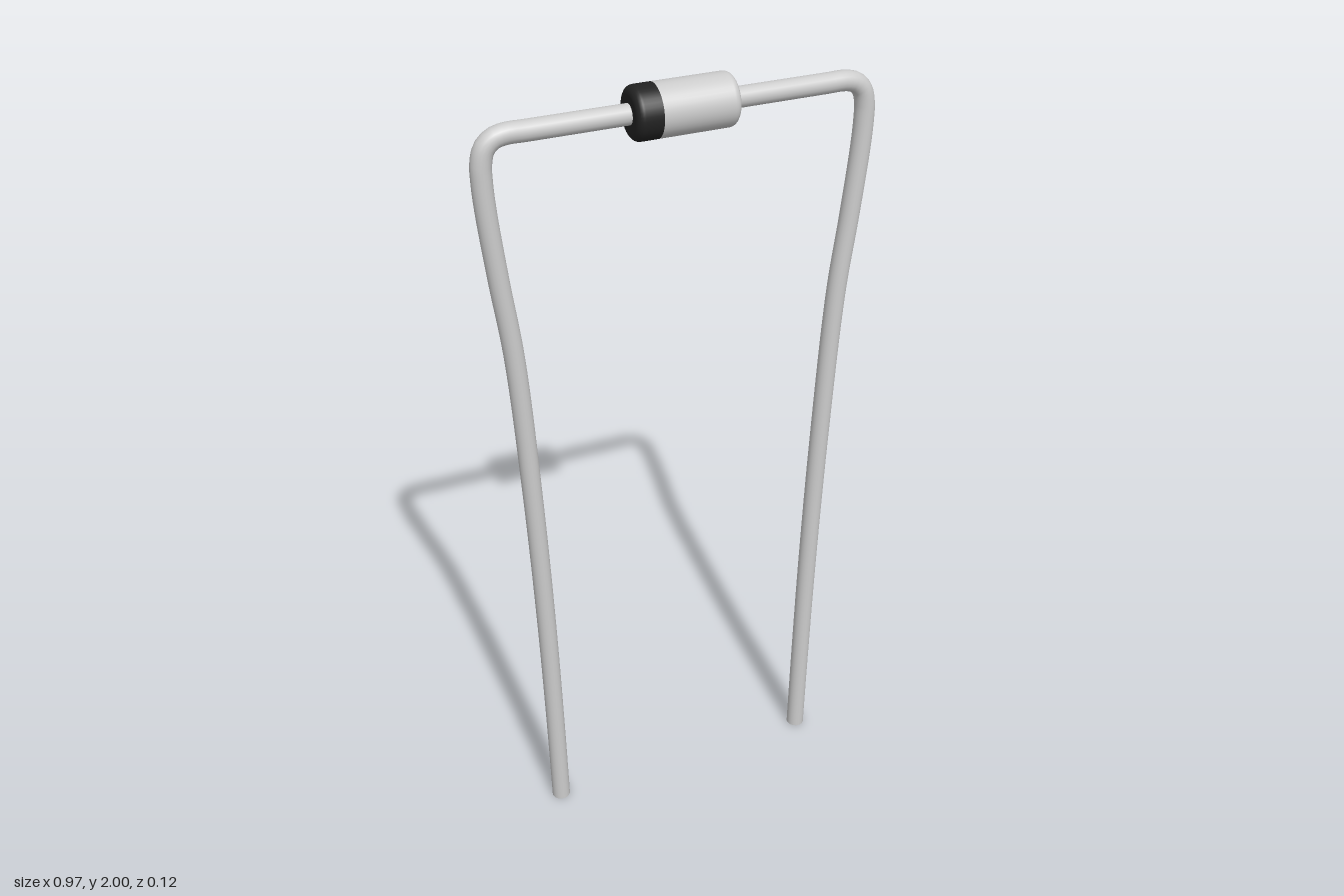
import * as THREE from 'three';

const AXIS_Y = 1.938, WIRE_R = 0.024, BODY_R = 0.062, FILLET = 0.018;

// Quarter-round profile points from the flat end out to the barrel
function roundedEnd(x, dir) {
  const pts = [new THREE.Vector2(0, x), new THREE.Vector2((BODY_R - FILLET) * 0.97, x)];
  for (let i = 0; i <= 6; i++) {
    const a = (i / 6) * Math.PI / 2;
    pts.push(new THREE.Vector2(
      BODY_R - FILLET + FILLET * Math.sin(a),
      x + dir * FILLET * (1 - Math.cos(a))));
  }
  return pts;
}

// Profile turned around the x axis
function turned(name, profile, material) {
  const geo = new THREE.LatheGeometry(profile, 40);
  geo.rotateZ(-Math.PI / 2);
  const mesh = new THREE.Mesh(geo, material);
  mesh.name = name;
  mesh.position.y = AXIS_Y;
  return mesh;
}

// Bent wire with a flat cut end; side is +1 (left) or -1 (right)
function lead(name, side, material) {
  const path = [
    [0.1, AXIS_Y], [0.25, AXIS_Y], [0.36, AXIS_Y], [0.405, AXIS_Y], [0.432, 1.931],
    [0.452, 1.912], [0.461, 1.88], [0.462, 1.84], [0.458, 1.77], [0.44, 1.6],
    [0.416, 1.4], [0.393, 1.0], [0.378, 0.6], [0.37, 0.25], [0.366, 0],
  ].map(([x, y]) => new THREE.Vector3(side * x, y, 0));
  const group = new THREE.Group();
  group.name = name;

  const wire = new THREE.Mesh(
    new THREE.TubeGeometry(new THREE.CatmullRomCurve3(path), 160, WIRE_R, 20), material);
  wire.name = 'bentWire';

  const cap = new THREE.Mesh(new THREE.CircleGeometry(WIRE_R, 20), material);
  cap.name = 'wireEnd';
  cap.rotation.x = Math.PI / 2;
  cap.position.x = side * 0.366;

  group.add(wire, cap);
  return group;
}

export function createModel() {
  const grey = new THREE.MeshStandardMaterial({ color: 0xcccccc });
  const black = new THREE.MeshStandardMaterial({ color: 0x222222 });
  const model = new THREE.Group();
  model.name = 'diode';

  // Barrel body with a dark polarity band at the right end
  const split = -0.065;
  const seam = new THREE.Vector2(BODY_R, split);
  model.add(turned('polarityBand', [...roundedEnd(-0.124, 1), seam], black));
  model.add(turned('body', [seam, ...roundedEnd(0.123, -1).reverse()], grey));

  // Two mirrored leads
  model.add(lead('leftLead', 1, grey), lead('rightLead', -1, grey));
  return model;
}
